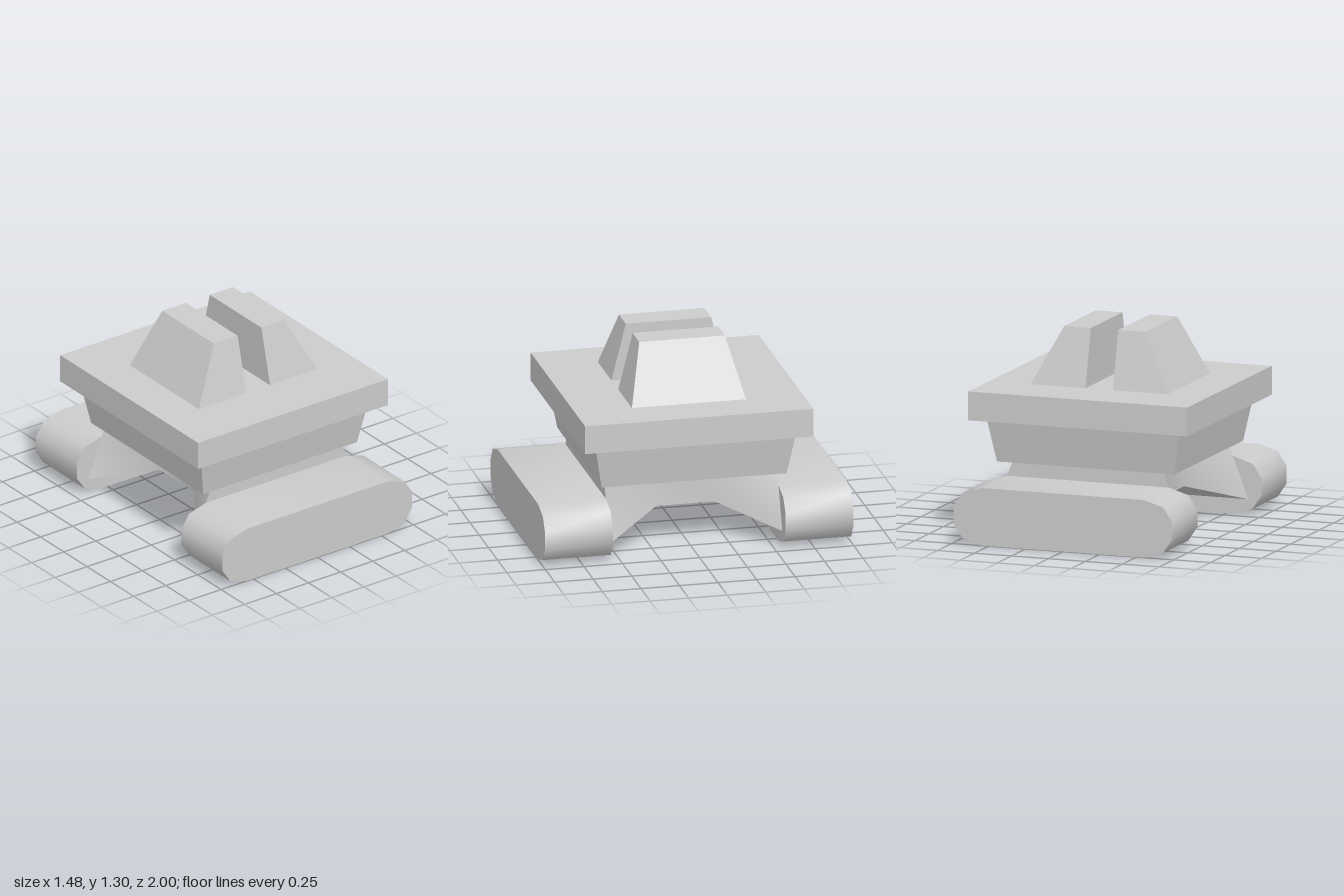
import * as THREE from 'three';
import { toCreasedNormals } from 'three/addons/utils/BufferGeometryUtils.js';

const material = new THREE.MeshStandardMaterial({ color: 0xcccccc });

// Skin a stack of four-cornered rings, counter-clockwise seen from the last ring's side
function loft(rings, crease) {
  const pos = [];
  const quad = (a, b, c, d) => pos.push(...a, ...b, ...c, ...a, ...c, ...d);
  for (let k = 0; k + 1 < rings.length; k++) {
    for (let i = 0; i < 4; i++) {
      const j = (i + 1) % 4;
      quad(rings[k][i], rings[k][j], rings[k + 1][j], rings[k + 1][i]);
    }
  }
  quad(...rings[0].slice().reverse());
  quad(...rings[rings.length - 1]);
  const geo = new THREE.BufferGeometry();
  geo.setAttribute('position', new THREE.Float32BufferAttribute(pos, 3));
  geo.computeVertexNormals();
  return crease ? toCreasedNormals(geo, crease) : geo;
}

// Horizontal rectangle at height y
const level = (y, x0, x1, z) => [[x0, y, z], [x1, y, z], [x1, y, -z], [x0, y, -z]];

// Upright trapezoid across the chassis at depth z
const section = (z, bottom, halfBottom, halfTop) => [
  [-halfBottom, bottom, z], [halfBottom, bottom, z], [halfTop, 0.465, z], [-halfTop, 0.465, z],
];

export function createModel() {
  const model = new THREE.Group();
  const add = (name, geometry) => {
    const mesh = new THREE.Mesh(geometry, material);
    mesh.name = name;
    model.add(mesh);
    return mesh;
  };

  // Tracks: long pads with faceted round ends
  const half = [[0.55, 0], [0.68, 0.04], [0.74, 0.13], [0.74, 0.24], [0.68, 0.33], [0.55, 0.37]];
  const outline = [...half, ...half.map(([x, y]) => [-x, y]).reverse()];
  const shape = new THREE.Shape(outline.map(([x, y]) => new THREE.Vector2(x, y)));
  const track = toCreasedNormals(
    new THREE.ExtrudeGeometry(shape, { depth: 0.44, bevelEnabled: false }), 0.8);
  add('frontTrack', track).position.z = 0.56;
  add('backTrack', track).position.z = -1;

  // Chassis: narrow waist flaring out to both tracks
  add('chassis', loft([
    section(-0.56, 0.1, 0.65, 0.51),
    section(-0.19, 0.23, 0.36, 0.36),
    section(0.19, 0.23, 0.36, 0.36),
    section(0.56, 0.1, 0.65, 0.51),
  ], 0.7));

  // Tapered skirt under the platform
  add('skirt', loft([level(0.465, -0.6, 0.6, 0.6), level(0.745, -0.65, 0.65, 0.65)]));

  // Square platform
  add('platform', new THREE.BoxGeometry(1.48, 0.185, 1.48)).position.y = 0.8375;

  // Pair of wedge blocks with straight inner faces
  add('leftBlock', loft([level(0.93, 0.09, 0.46, 0.37), level(1.3, 0.09, 0.27, 0.277)]));
  add('rightBlock', loft([level(0.93, -0.465, -0.095, 0.37), level(1.3, -0.28, -0.095, 0.277)]));

  return model;
}
